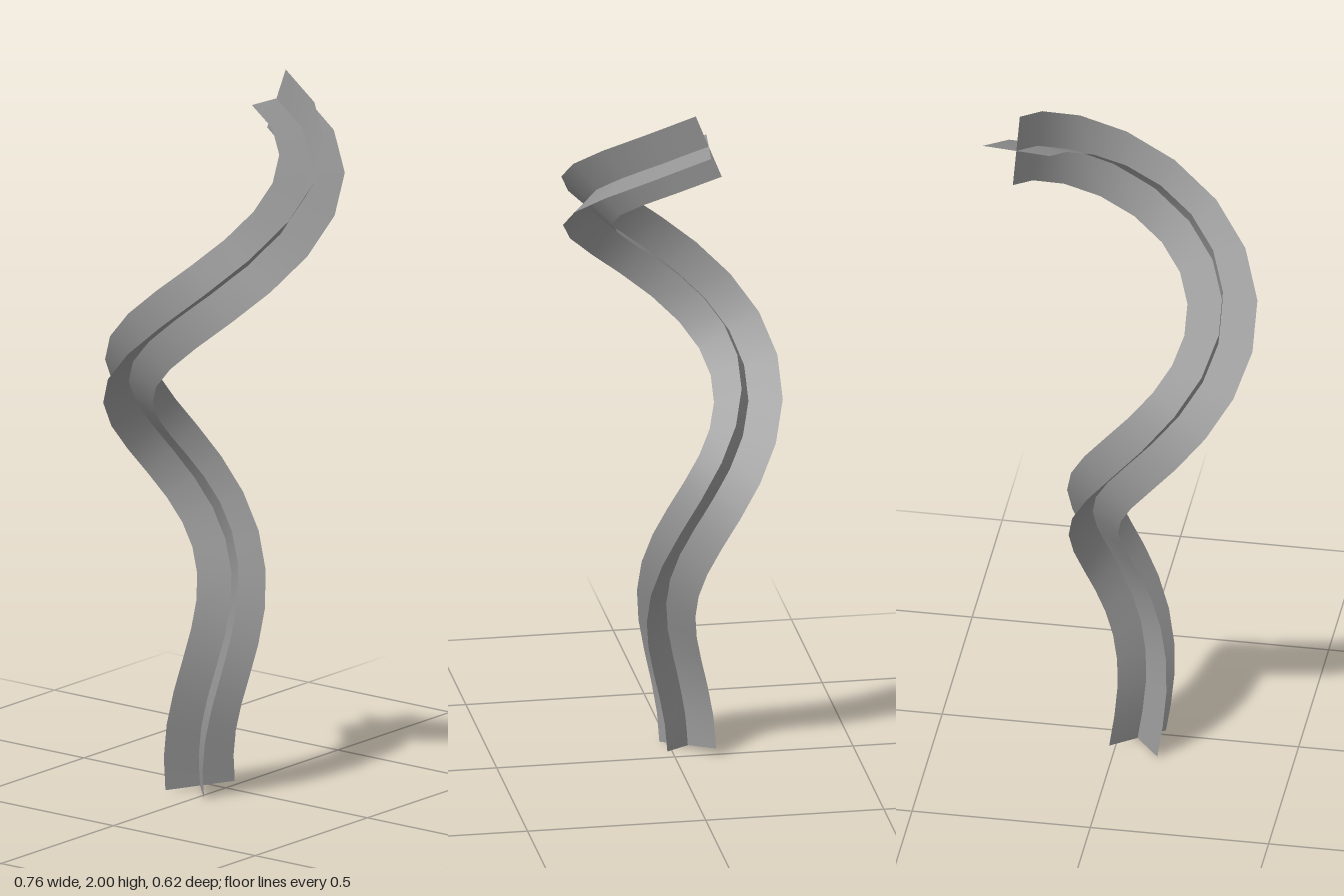
import * as THREE from 'three';

const SEGMENTS = 24;
const HALF_WIDTH = 0.097;
const UP = new THREE.Vector3(0, 1, 0);

// Widening spiral, one and a half turns from the foot to the tip, flattening at the tip
function spinePoint(t) {
  const angle = 3 * Math.PI * (1 - t);
  const rise = t + t * (1 - t) * (0.12 + 0.2 * Math.pow(t, 6));
  return new THREE.Vector3(
    -0.056 + 0.34 * t * Math.cos(angle),
    0.012 + 1.898 * rise,
    -0.046 + 0.34 * t * Math.sin(angle)
  );
}

function spineTangent(t) {
  const d = 1e-3;
  return spinePoint(t + d).sub(spinePoint(t - d)).normalize();
}

// Frames carried along the spine with the least turning
function makeFrames() {
  const frames = [];
  const fine = 20;
  const normal = new THREE.Vector3(1, 0, 1);
  for (let i = 0; i <= SEGMENTS * fine; i++) {
    const t = i / (SEGMENTS * fine);
    const tangent = spineTangent(t);
    normal.addScaledVector(tangent, -normal.dot(tangent)).normalize();
    if (i % fine === 0) frames.push({ t, point: spinePoint(t), tangent, normal: normal.clone() });
  }
  // Ease in a small twist so that one blade lies level at the tip
  const { tangent, normal: tip } = frames[SEGMENTS];
  const level = new THREE.Vector3().crossVectors(UP, tangent).normalize();
  const side = new THREE.Vector3().crossVectors(tangent, tip);
  let twist = Math.atan2(level.dot(side), level.dot(tip));
  twist -= Math.round(twist / (Math.PI / 2)) * (Math.PI / 2);
  frames.forEach((f) => f.normal.applyAxisAngle(f.tangent, twist * f.t));
  return frames;
}

// Flat strip swept along the spine, turned about it by the given angle
function makeBlade(name, frames, turn, material) {
  const positions = [];
  const index = [];
  frames.forEach((f, i) => {
    const arm = f.normal.clone().applyAxisAngle(f.tangent, turn);
    for (const s of [-1, 1]) {
      positions.push(...f.point.clone().addScaledVector(arm, s * HALF_WIDTH).toArray());
    }
    if (i < SEGMENTS) {
      const a = i * 2;
      index.push(a, a + 1, a + 2, a + 1, a + 3, a + 2);
    }
  });
  const geometry = new THREE.BufferGeometry();
  geometry.setAttribute('position', new THREE.Float32BufferAttribute(positions, 3));
  geometry.setIndex(index);
  geometry.computeVertexNormals();
  const mesh = new THREE.Mesh(geometry, material);
  mesh.name = name;
  return mesh;
}

export function createModel() {
  const group = new THREE.Group();
  group.name = 'crossedSpiralRibbon';
  const material = new THREE.MeshStandardMaterial({ color: 0x969696, side: THREE.DoubleSide });
  const frames = makeFrames();
  // Two blades crossing at right angles
  group.add(makeBlade('firstBlade', frames, 0, material));
  group.add(makeBlade('secondBlade', frames, Math.PI / 2, material));
  return group;
}
